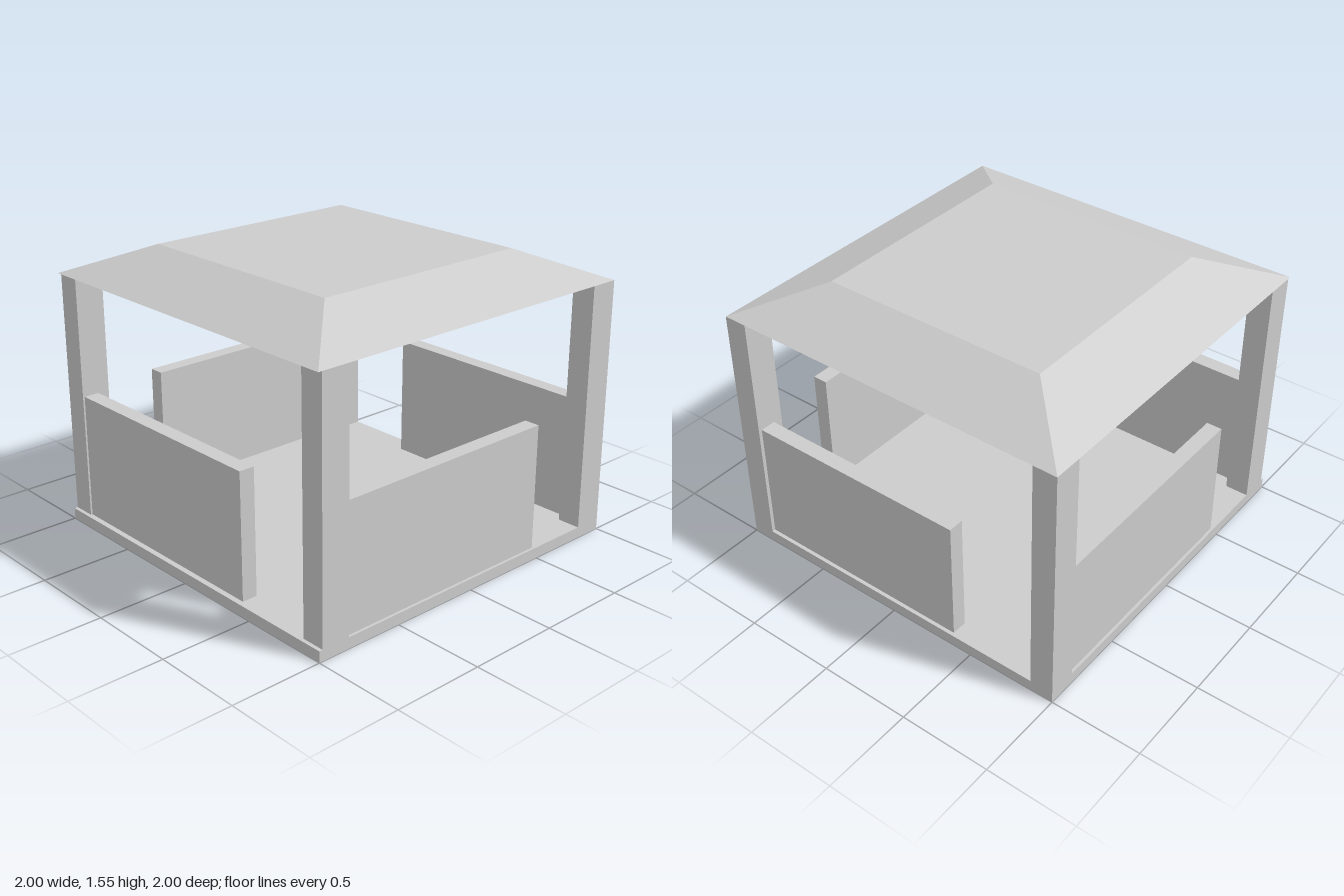
import * as THREE from 'three';

const material = new THREE.MeshStandardMaterial({ color: 0xcccccc, flatShading: true });

// Box given by its lower and upper corner
function block(name, [x0, y0, z0], [x1, y1, z1]) {
  const mesh = new THREE.Mesh(new THREE.BoxGeometry(x1 - x0, y1 - y0, z1 - z0), material);
  mesh.position.set((x0 + x1) / 2, (y0 + y1) / 2, (z0 + z1) / 2);
  mesh.name = name;
  return mesh;
}

export function createModel() {
  const model = new THREE.Group();
  model.name = 'openPavilion';

  const floorTop = 0.06, wallTop = 0.74, eaves = 1.39, ridge = 1.55;

  model.add(block('floor', [-1, 0, -1], [1, floorTop, 1]));

  // Corner posts
  for (const [side, x0, x1] of [['Right', -0.98, -0.82], ['Left', 0.84, 1]]) {
    model.add(block('front' + side + 'Post', [x0, floorTop, 0.87], [x1, eaves, 1]));
    model.add(block('back' + side + 'Post', [x0, floorTop, -1], [x1, eaves, -0.87]));
  }

  // Low walls, each leaving an entrance gap at one end
  const walls = [
    ['frontWall', -0.82, 0.48, 0.9, 0.985],
    ['backWall', -0.46, 0.84, -0.985, -0.9],
    ['leftWall', 0.895, 0.98, -0.38, 0.87],
    ['rightWall', -0.97, -0.885, -0.87, 0.42],
  ];
  for (const [name, x0, x1, z0, z1] of walls) {
    model.add(block(name, [x0, floorTop, z0], [x1, wallTop, z1]));
  }

  // Hipped roof with a flat top
  const roofShape = new THREE.CylinderGeometry(0.63 * Math.SQRT2, Math.SQRT2, ridge - eaves, 4);
  roofShape.rotateY(Math.PI / 4);
  const roof = new THREE.Mesh(roofShape, material);
  roof.position.y = (eaves + ridge) / 2;
  roof.name = 'roof';
  model.add(roof);

  return model;
}
